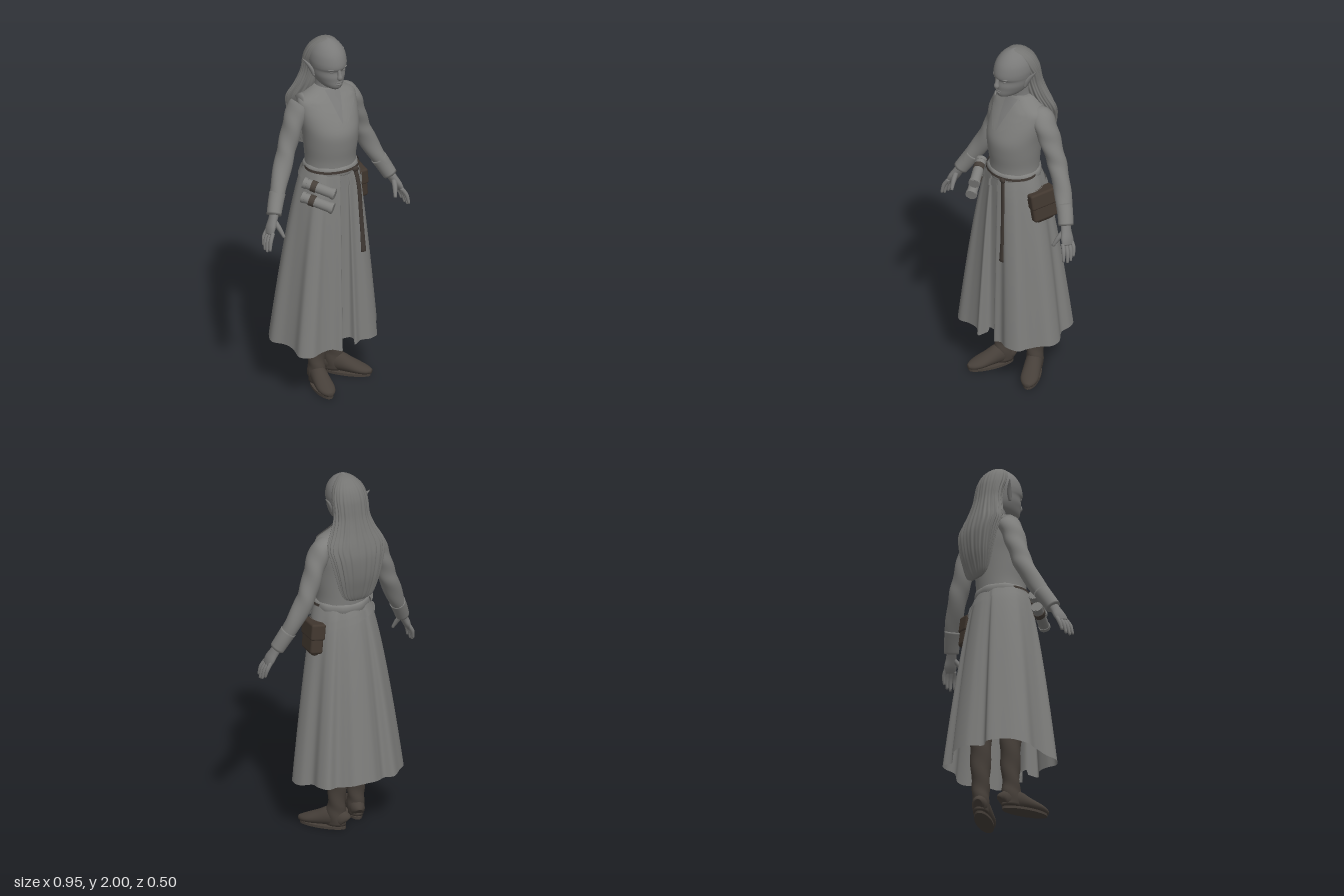
import * as THREE from 'three';
import { RoundedBoxGeometry } from 'three/addons/geometries/RoundedBoxGeometry.js';

const V = (x, y, z) => new THREE.Vector3(x, y, z);

function material(name, color, side = THREE.FrontSide) {
  const m = new THREE.MeshStandardMaterial({ color, side });
  m.name = name;
  return m;
}

// Closed rings joined into a smooth skin, with optional end caps
function loft(rings, caps = true) {
  const n = rings[0].length, pos = [], idx = [];
  rings.forEach(r => r.forEach(p => pos.push(p.x, p.y, p.z)));
  for (let i = 0; i < rings.length - 1; i++) for (let j = 0; j < n; j++) {
    const a = i * n + j, b = i * n + (j + 1) % n;
    idx.push(a, b, a + n, b, b + n, a + n);
  }
  if (caps) [0, rings.length - 1].forEach(i => {
    const c = rings[i].reduce((s, p) => s.add(p), V(0, 0, 0)).divideScalar(n), k = pos.length / 3;
    pos.push(c.x, c.y, c.z);
    for (let j = 0; j < n; j++) {
      const a = i * n + j, b = i * n + (j + 1) % n;
      i ? idx.push(a, b, k) : idx.push(b, a, k);
    }
  });
  const g = new THREE.BufferGeometry();
  g.setAttribute('position', new THREE.Float32BufferAttribute(pos, 3));
  g.setIndex(idx);
  g.computeVertexNormals();
  return g;
}

// Smoothly interpolated row of a table, t in 0..1
function rowAt(rows, t) {
  const f = t * (rows.length - 1), i = Math.min(Math.floor(f), rows.length - 2), s = f - i;
  const at = k => rows[Math.max(0, Math.min(rows.length - 1, k))];
  return rows[i].map((b, c) => {
    const a = at(i - 1)[c], d = at(i + 1)[c], e = at(i + 2)[c];
    return b + 0.5 * s * (d - a + s * (2 * a - 5 * b + 4 * d - e + s * (3 * (b - d) + e - a)));
  });
}

// Stack of level ovals, rows from top down: [y, halfWidth, zFront, zBack]
function stack(rows, cx = 0, { n = 36, steps = 4, ripple = () => 1, caps = true } = {}) {
  const rings = [], m = (rows.length - 1) * steps;
  for (let i = 0; i <= m; i++) {
    const [y, w, f, b] = rowAt(rows, i / m);
    rings.push(Array.from({ length: n }, (_, j) => {
      const a = j / n * Math.PI * 2, k = ripple(a, i / m);
      return V(cx + w * k * Math.cos(a), y, (f + b) / 2 + (f - b) / 2 * k * Math.sin(a));
    }));
  }
  return loft(rings, caps);
}

// Limb through points [x, y, z, radius across x, radius across z]
function limb(pts, { n = 16, steps = 4, ripple = 0 } = {}) {
  const m = (pts.length - 1) * steps, rows = [], rings = [];
  for (let i = 0; i <= m; i++) rows.push(rowAt(pts, i / m));
  rows.forEach((r, i) => {
    const p = rows[Math.max(0, i - 1)], q = rows[Math.min(m, i + 1)];
    const d = V(q[0] - p[0], q[1] - p[1], q[2] - p[2]).normalize();
    const ref = Math.abs(d.x) > 0.9 ? V(0, 1, 0) : V(1, 0, 0);
    const u = ref.addScaledVector(d, -ref.dot(d)).normalize(), v = d.clone().cross(u);
    rings.push(Array.from({ length: n }, (_, j) => {
      const a = j / n * Math.PI * 2, k = 1 + ripple * Math.sin(2 * a + i * 0.9);
      return V(r[0], r[1], r[2]).addScaledVector(u, r[3] * k * Math.cos(a)).addScaledVector(v, (r[4] ?? r[3]) * k * Math.sin(a));
    }));
  });
  return loft(rings);
}

const TORSO = [[1.725, 0.062, 0.03, -0.08], [1.695, 0.105, 0.05, -0.095], [1.66, 0.165, 0.072, -0.105], [1.61, 0.172, 0.105, -0.112],
  [1.55, 0.167, 0.14, -0.118], [1.48, 0.156, 0.168, -0.116], [1.4, 0.147, 0.166, -0.11], [1.32, 0.138, 0.155, -0.105], [1.25, 0.141, 0.155, -0.1]];

function torsoZ(x, y) {
  let i = 0;
  while (i < TORSO.length - 2 && TORSO[i + 1][0] > y) i++;
  const s = (y - TORSO[i][0]) / (TORSO[i + 1][0] - TORSO[i][0]);
  const [w, f, b] = [1, 2, 3].map(c => THREE.MathUtils.lerp(TORSO[i][c], TORSO[i + 1][c], s));
  return (f + b) / 2 + (f - b) / 2 * Math.sqrt(Math.max(0, 1 - (x / w) ** 2));
}

// Thin four-cornered patch lying on the chest
function chestPatch([a, b, c, d], lift) {
  const g = new THREE.PlaneGeometry(1, 1, 10, 10), p = g.attributes.position;
  for (let i = 0; i < p.count; i++) {
    const u = p.getX(i) + 0.5, v = p.getY(i) + 0.5;
    const [x, y] = [0, 1].map(k => (a[k] * (1 - u) + d[k] * u) * (1 - v) + (b[k] * (1 - u) + c[k] * u) * v);
    p.setXYZ(i, x, y, torsoZ(x, y) + lift);
  }
  g.computeVertexNormals();
  return g;
}

// Skirt outline at the hem, [x, z], from the left side round the front
const HEM = [[0.295, 0.02], [0.25, 0.08], [0.22, 0.12], [0.205, 0.165], [0.14, 0.197], [0.085, 0.185], [0.045, 0.2], [0.03, 0.165],
  [-0.035, 0.165], [-0.055, 0.228], [-0.1, 0.2], [-0.17, 0.2], [-0.235, 0.213], [-0.288, 0.17], [-0.28, 0.1], [-0.295, 0.03],
  [-0.328, -0.04], [-0.305, -0.1], [-0.25, -0.16], [-0.19, -0.212], [-0.14, -0.195], [-0.1, -0.222], [-0.05, -0.25], [0.06, -0.25],
  [0.1, -0.222], [0.14, -0.195], [0.2, -0.21], [0.235, -0.16], [0.24, -0.1], [0.285, -0.05]];
const HEM_POINTS = new THREE.CatmullRomCurve3(HEM.map(([x, z]) => V(x, 0, z)), true).getPoints(180).slice(0, 180);

// Point on the skirt above hem point h, t running from waist to hem
function skirtPoint(h, t) {
  const a = Math.atan2((h.z - 0.01) / 0.22, h.x / 0.3);
  const low = 0.285 - 0.1 * h.z + 0.006 * Math.sin(7 * a) + (Math.abs(h.x) < 0.04 && h.z > 0.15 ? 0.03 : 0);
  return V(0.145 * Math.cos(a), 1.28, 0.028 + 0.13 * Math.sin(a)).lerp(h, t ** 0.72).setY(THREE.MathUtils.lerp(1.28, low, t));
}

const skirtGeometry = () => loft(Array.from({ length: 21 }, (_, i) => HEM_POINTS.map(h => skirtPoint(h, i / 20))), false);

// Belt lying on the skirt, dropping towards the left hip
const beltGeometry = () => loft([0, 0.04].map(drop => HEM_POINTS.map(h => {
  const p = skirtPoint(h, 0.05 + drop + 0.1 * h.x);
  return V(p.x * 1.04, p.y, 0.03 + (p.z - 0.03) * 1.05);
})), false);

export function createModel() {
  const root = new THREE.Group();
  const cloth = material('grey cloth', 0x7e7e7c, THREE.DoubleSide), skin = material('grey skin', 0x7a7a79, THREE.DoubleSide);
  const hair = material('grey hair', 0x757573), leather = material('brown leather', 0x463f39, THREE.DoubleSide);
  const pouchMat = material('dark brown leather', 0x41372f), strapMat = material('strap leather', 0x3f3833, THREE.DoubleSide);
  const add = (name, geo, mat, parent = root) => {
    const m = new THREE.Mesh(geo, mat);
    m.name = name;
    parent.add(m);
    return m;
  };
  const oval = (name, mat, r, p) => { const m = add(name, new THREE.SphereGeometry(1, 16, 12), mat); m.scale.set(...r); m.position.set(...p); return m; };

  // Head, neck and face
  const cx = -0.012;
  add('head', stack([[2, 0.004, 0.03, 0.01], [1.988, 0.038, 0.062, -0.035], [1.965, 0.066, 0.095, -0.07], [1.93, 0.086, 0.122, -0.095],
    [1.89, 0.093, 0.136, -0.105], [1.86, 0.091, 0.138, -0.1], [1.84, 0.087, 0.127, -0.095], [1.81, 0.082, 0.131, -0.085], [1.785, 0.073, 0.13, -0.08],
    [1.762, 0.06, 0.13, -0.06], [1.745, 0.044, 0.123, -0.02], [1.734, 0.024, 0.108, 0.02]], cx), skin);
  add('neck', stack([[1.8, 0.058, 0.05, -0.075], [1.74, 0.055, 0.038, -0.075], [1.7, 0.06, 0.038, -0.08], [1.64, 0.075, 0.05, -0.08]], cx / 2), skin);
  add('nose', limb([[cx, 1.86, 0.127, 0.008, 0.008], [cx, 1.83, 0.134, 0.01, 0.011], [cx, 1.81, 0.137, 0.015, 0.015], [cx, 1.8, 0.13, 0.01, 0.008]]), skin);
  oval('upperLip', skin, [0.021, 0.005, 0.006], [cx, 1.779, 0.126]);
  oval('lowerLip', skin, [0.017, 0.006, 0.006], [cx, 1.768, 0.127]);
  for (const s of [1, -1]) {
    oval('eyelid', skin, [0.015, 0.006, 0.006], [cx + s * 0.034, 1.842, 0.115]);
    oval('brow', skin, [0.025, 0.006, 0.01], [cx + s * 0.036, 1.86, 0.119]).rotation.y = s * 0.35;
    add('ear', limb([[cx + s * 0.08, 1.797, 0.014, 0.008, 0.007], [cx + s * 0.09, 1.83, 0.004, 0.01, 0.015],
      [cx + s * 0.106, 1.862, -0.01, 0.008, 0.012], [cx + s * 0.13, 1.893, -0.025, 0.002, 0.003]]), skin);
  }

  // Long hair with strand ridges
  add('hair', stack([[1.999, 0.01, 0.03, 0], [1.987, 0.045, 0.045, -0.045], [1.95, 0.081, 0.045, -0.09], [1.9, 0.097, 0.03, -0.115],
    [1.85, 0.099, 0, -0.125], [1.79, 0.102, -0.015, -0.135], [1.72, 0.128, -0.028, -0.155], [1.65, 0.162, -0.055, -0.178], [1.58, 0.15, -0.08, -0.192],
    [1.48, 0.126, -0.1, -0.188], [1.4, 0.104, -0.115, -0.17], [1.355, 0.08, -0.128, -0.157], [1.335, 0.045, -0.135, -0.147]], cx,
  { n: 160, ripple: (a, t) => 1 + Math.min(t, 0.5) * (0.06 * Math.sin(27 * a + 4 * t) + 0.05 * Math.sin(16 * a - 5 * t)) }), hair);

  // Coat body, neck opening and lapels
  add('coatBody', stack(TORSO, 0, { n: 48 }), cloth);
  add('neckOpening', chestPatch([[0, 1.54], [-0.052, 1.71], [0.052, 1.71], [0, 1.54]], 0.004), skin);
  for (const s of [1, -1])
    add('lapel', chestPatch([[0, 1.52], [s * 0.046, 1.715], [s * 0.142, 1.65], [s * 0.06, 1.575]], 0.012), cloth);
  add('skirt', skirtGeometry(), cloth);
  add('waistSash', stack([[1.296, 0.136, 0.152, -0.1], [1.286, 0.146, 0.162, -0.11], [1.268, 0.15, 0.165, -0.113], [1.25, 0.148, 0.163, -0.11]], 0,
    { n: 48, ripple: a => 1 + 0.015 * Math.sin(9 * a) }), cloth);
  add('waistCord', stack([[1.282, 0.151, 0.169, -0.09], [1.268, 0.153, 0.171, -0.09]], 0, { n: 48, caps: false }), strapMat);
  add('slantedBelt', beltGeometry(), cloth);

  // Hanging strap with knot
  add('strap', limb([[0.07, 1.265, 0.16, 0.012, 0.006], [0.085, 1.17, 0.172, 0.012, 0.006], [0.093, 1, 0.181, 0.012, 0.006],
    [0.098, 0.88, 0.188, 0.013, 0.006], [0.1, 0.79, 0.194, 0.016, 0.007]]), strapMat);
  oval('knot', strapMat, [0.02, 0.014, 0.01], [0.07, 1.268, 0.163]);

  // Belt pouch
  const pouch = new THREE.Group();
  pouch.name = 'pouch';
  pouch.position.set(0.188, 1.11, -0.012);
  pouch.rotation.set(0.08, -0.12, 0.12);
  root.add(pouch);
  add('pouchBody', new RoundedBoxGeometry(0.07, 0.155, 0.148, 3, 0.016), pouchMat, pouch);
  add('pouchFlap', new RoundedBoxGeometry(0.08, 0.09, 0.158, 3, 0.012), pouchMat, pouch).position.set(0, 0.045, 0);
  add('pouchBase', new THREE.CapsuleGeometry(0.026, 0.07, 4, 12).rotateX(Math.PI / 2), pouchMat, pouch).position.y = -0.068;

  // Two scroll cases on the right hip
  for (const [x, y, z] of [[-0.152, 1.208, 0.153], [-0.168, 1.132, 0.16]]) {
    const scroll = new THREE.Group();
    scroll.name = 'scrollCase';
    scroll.position.set(x, y, z);
    scroll.quaternion.setFromUnitVectors(V(0, 1, 0), V(0.12, -0.05, 0.15).normalize());
    root.add(scroll);
    add('scroll', new THREE.CylinderGeometry(0.028, 0.028, 0.18, 16), cloth, scroll);
    for (const h of [-0.08, 0.08]) add('scrollRim', new THREE.CylinderGeometry(0.031, 0.031, 0.018, 16), cloth, scroll).position.y = h;
    add('scrollBand', new THREE.CylinderGeometry(0.031, 0.031, 0.03, 16), leather, scroll).position.y = -0.03;
  }

  // Arms and hands; the right arm reaches further forward
  for (const s of [1, -1]) {
    const name = s > 0 ? 'left' : 'right';
    const place = pts => pts.map(([x, y, z, ...r]) => {
      const k = s > 0 ? 0 : Math.min(1, (1.63 - y) / 0.54);
      return [s * (x - 0.008 * k), y, z + 0.083 * k, ...r];
    });
    add(name + 'Sleeve', limb(place([[0.11, 1.635, -0.035, 0.045, 0.055], [0.153, 1.622, -0.04, 0.052, 0.062], [0.185, 1.56, -0.045, 0.053, 0.064],
      [0.211, 1.49, -0.053, 0.051, 0.058], [0.24, 1.41, -0.06, 0.05, 0.052], [0.268, 1.34, -0.06, 0.05, 0.05], [0.322, 1.23, -0.045, 0.045, 0.046],
      [0.38, 1.12, -0.015, 0.036, 0.039], [0.395, 1.09, -0.007, 0.036, 0.038]]), { n: 24, ripple: 0.045 }), cloth);
    add(name + 'Cuff', limb(place([[0.345, 1.185, -0.034, 0.043, 0.045], [0.37, 1.14, -0.022, 0.041, 0.043], [0.398, 1.085, -0.005, 0.038, 0.042]]), { n: 24 }), cloth);
    add(name + 'Palm', limb(place([[0.39, 1.1, -0.008, 0.024, 0.028], [0.412, 1.06, 0.004, 0.022, 0.032], [0.431, 1.025, 0.013, 0.02, 0.039],
      [0.445, 0.995, 0.02, 0.013, 0.036]])), skin);
    for (let f = 0; f < 4; f++) {
      const o = (f - 1.5) * 0.019, len = [0.8, 0.96, 1, 0.88][f];
      add(name + 'Finger', limb(place([[0.437, 1.01, 0.018 + o, 0.011, 0.011], [0.437 + 0.026 * len, 1.01 - 0.045 * len, 0.025 + o * 1.2, 0.011, 0.011],
        [0.437 + 0.037 * len, 1.01 - 0.1 * len, 0.034 + o * 1.2, 0.007, 0.007]]), { n: 10 }), skin);
    }
    add(name + 'Thumb', limb(place([[0.408, 1.06, 0.018, 0.014, 0.014], [0.396, 1.025, 0.046, 0.013, 0.013], [0.382, 0.98, 0.07, 0.008, 0.008]]), { n: 10 }), skin);
  }

  // Legs and boots; the left foot is turned out and set back
  for (const [name, x, z, turn] of [['left', 0.071, -0.056, 0.7], ['right', -0.087, 0.025, -0.22]]) {
    const leg = new THREE.Group();
    leg.name = name + 'Leg';
    leg.position.set(x, 0, z);
    leg.rotation.y = turn;
    root.add(leg);
    add('trouserLeg', stack([[0.95, 0.066, 0.066, -0.066], [0.7, 0.062, 0.062, -0.062], [0.42, 0.05, 0.05, -0.05]]), cloth, leg);
    add('bootShaft', stack([[0.5, 0.059, 0.055, -0.058], [0.4, 0.057, 0.052, -0.06], [0.27, 0.052, 0.048, -0.056], [0.16, 0.046, 0.045, -0.047],
      [0.09, 0.045, 0.055, -0.05], [0.02, 0.042, 0.055, -0.05]], 0, { ripple: (a, t) => 1 + 0.05 * Math.sin(2 * a + 24 * t) }), leather, leg);
    add('bootFoot', limb([[0, 0.045, -0.058, 0.02, 0.03], [0, 0.055, -0.042, 0.038, 0.045], [0, 0.066, 0.02, 0.044, 0.056], [0, 0.05, 0.09, 0.048, 0.04],
      [0, 0.036, 0.15, 0.048, 0.028], [0, 0.028, 0.19, 0.034, 0.02], [0, 0.026, 0.214, 0.012, 0.012]], { n: 20 }), leather, leg);
    const sole = add('sole', new THREE.CylinderGeometry(1, 1, 0.014, 28), leather, leg);
    sole.scale.set(0.045, 1, 0.13);
    sole.position.set(0, 0.007, 0.078);
  }
  return root;
}
